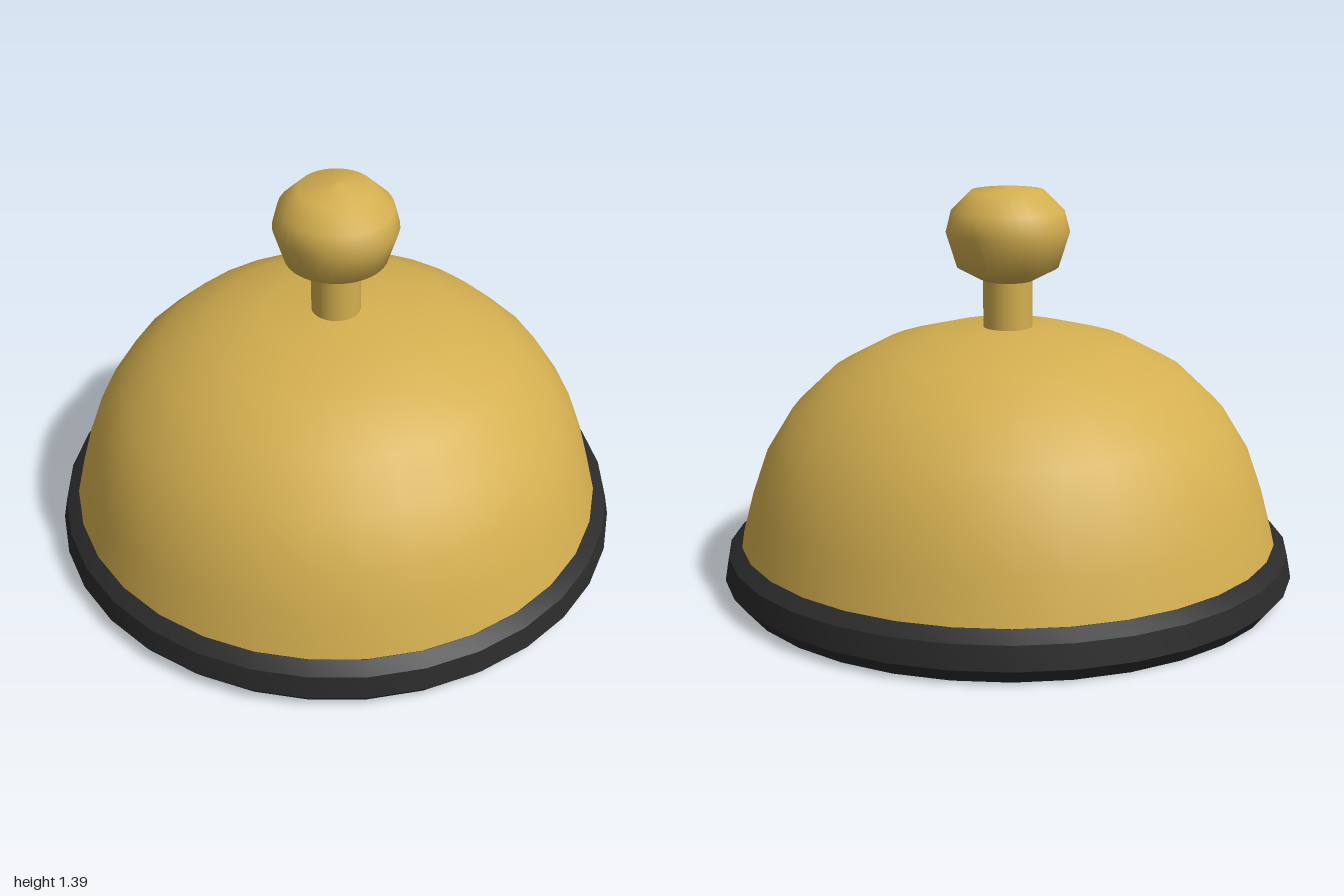
import * as THREE from 'three';
import { toCreasedNormals } from 'three/addons/utils/BufferGeometryUtils.js';

const SEGMENTS = 32;

// Revolves [radius, height] pairs, listed from bottom to top.
function lathe(profile) {
  return new THREE.LatheGeometry(profile.map(([r, y]) => new THREE.Vector2(r, y)), SEGMENTS);
}

export function createModel() {
  const bell = new THREE.Group();
  bell.name = 'deskBell';

  const brass = new THREE.MeshStandardMaterial({ color: 0xd4af50 });
  const black = new THREE.MeshStandardMaterial({ color: 0x2b2b2b });

  function add(name, geometry, material) {
    const mesh = new THREE.Mesh(geometry, material);
    mesh.name = name;
    bell.add(mesh);
  }

  // Chamfered base disc with a flat underside and top
  const base = lathe([
    [0, 0], [0.96, 0], [1, 0.05], [0.985, 0.13], [0.94, 0.165], [0, 0.165],
  ]);
  add('base', toCreasedNormals(base, 0.4), black);

  // Smooth dome resting on the base
  add('dome', lathe([
    [0.94, 0.16], [0.9, 0.31], [0.846, 0.465], [0.754, 0.615], [0.616, 0.747],
    [0.444, 0.84], [0.24, 0.896], [0, 0.912],
  ]), brass);

  // Plunger stem
  const stem = new THREE.CylinderGeometry(0.085, 0.085, 0.22, SEGMENTS);
  stem.translate(0, 0.99, 0);
  add('stem', stem, brass);

  // Slightly flattened push knob
  add('knob', lathe([
    [0, 1.065], [0.088, 1.07], [0.176, 1.117], [0.213, 1.235],
    [0.194, 1.31], [0.127, 1.377], [0, 1.394],
  ]), brass);

  return bell;
}
